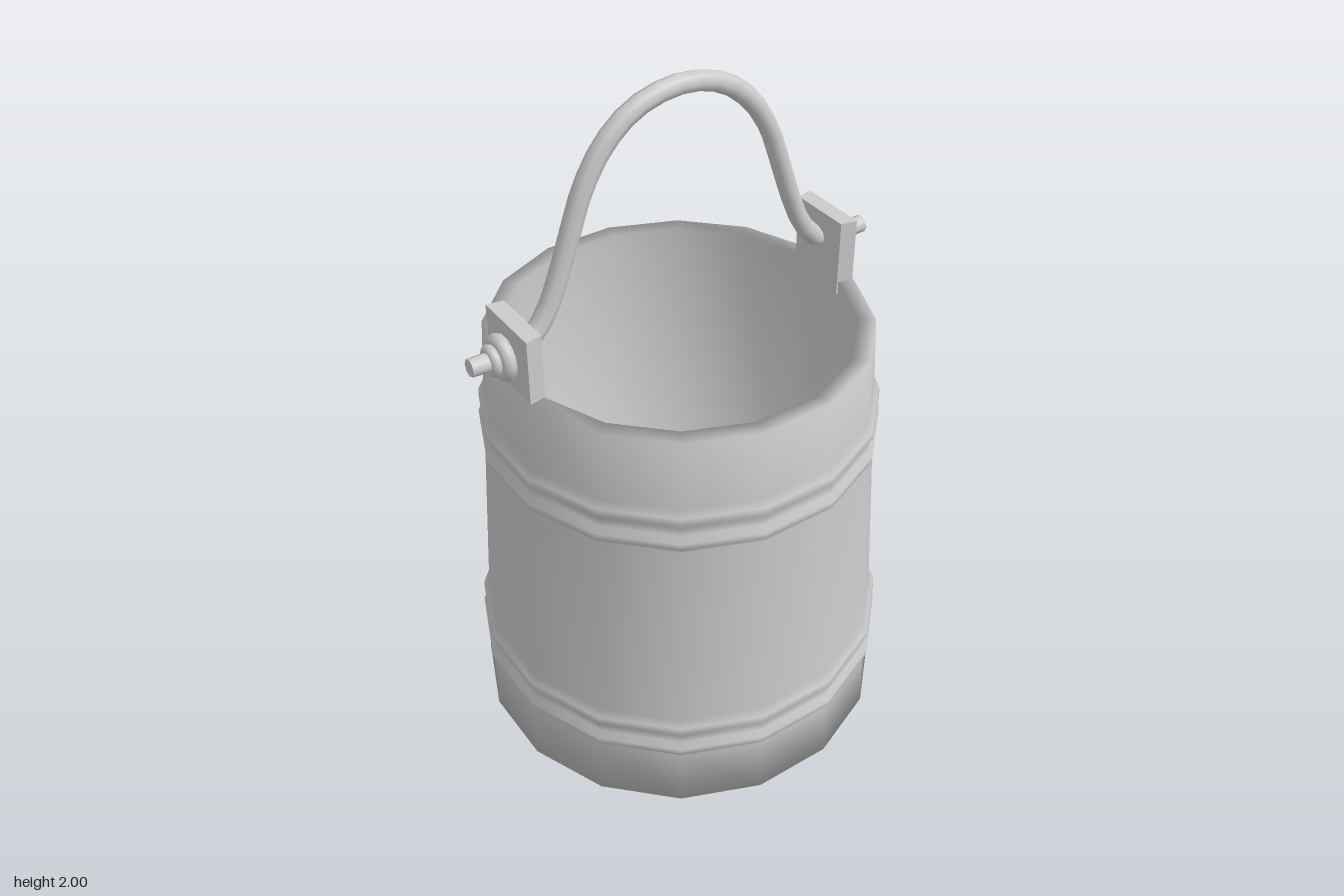
import * as THREE from 'three';

const SIDES = 16;
const FLAT = Math.cos(Math.PI / SIDES); // flat-to-corner ratio of the 16-sided body

export function createModel() {
  const bucket = new THREE.Group();
  bucket.name = 'bucket';
  const material = new THREE.MeshStandardMaterial({ color: 0xcccccc });

  const add = (parent, name, geometry) => {
    const mesh = new THREE.Mesh(geometry, material);
    mesh.name = name;
    parent.add(mesh);
    return mesh;
  };

  // Tapered wall: distance from the axis to a flat side at height y
  const wall = (y) => 0.6 - 0.07 * (y / 1.275);

  // Double hoop: two rounded ridges pushed out of the wall
  const hoop = (y) => [
    [-0.07, 0], [-0.05, 0.014], [-0.03, 0.016], [-0.012, 0.004],
    [0.012, 0.004], [0.03, 0.015], [0.05, 0.013], [0.07, 0],
  ].map(([dy, out]) => [wall(y + dy) + out, y + dy]);

  // Body: underside, outer wall with hoops, rim, inner wall and floor
  const profile = [
    [0, 0], [wall(0), 0],
    ...hoop(0.25), ...hoop(1.0),
    [wall(1.275), 1.275], [0.482, 1.275],
    [0.54, 0.06], [0, 0.06],
  ].map(([r, y]) => new THREE.Vector2(r / FLAT, y));
  add(bucket, 'body', new THREE.LatheGeometry(profile, SIDES, Math.PI / SIDES));

  // Handle: bent rod passing through both lugs
  const half = [
    [0.13, 1.945], [0.22, 1.875], [0.285, 1.775], [0.33, 1.655],
    [0.375, 1.53], [0.415, 1.445], [0.465, 1.388], [0.52, 1.37],
  ];
  const path = new THREE.CatmullRomCurve3([
    ...half.map(([x, y]) => new THREE.Vector3(-x, y, 0)).reverse(),
    new THREE.Vector3(0, 1.974, 0),
    ...half.map(([x, y]) => new THREE.Vector3(x, y, 0)),
  ]);
  add(bucket, 'handle', new THREE.TubeGeometry(path, 30, 0.028, 8));

  // Lug, washers and pin on each side
  for (const side of [1, -1]) {
    const mount = new THREE.Group();
    mount.name = side > 0 ? 'leftMount' : 'rightMount';
    mount.position.set(0, 1.37, 0);
    mount.rotation.y = side > 0 ? 0 : Math.PI;
    bucket.add(mount);

    // Lug, slightly wider on its outer face and rising out of the rim
    const lug = new THREE.BoxGeometry(0.048, 0.23, 0.2);
    const p = lug.attributes.position;
    for (let i = 0; i < p.count; i++) {
      p.setZ(i, p.getZ(i) * (p.getX(i) > 0 ? 1.05 : 0.95));
    }
    lug.computeVertexNormals();
    add(mount, 'lug', lug).position.set(0.502, -0.02, 0);

    // Large and small rounded washers
    for (const [name, x, ring, tube] of [
      ['largeWasher', 0.546, 0.046, 0.02],
      ['smallWasher', 0.574, 0.031, 0.014],
    ]) {
      const washer = add(mount, name, new THREE.TorusGeometry(ring, tube, 8, 14));
      washer.rotation.y = Math.PI / 2;
      washer.position.x = x;
    }

    // Pin end, slightly flared at the tip
    const pin = add(mount, 'pin', new THREE.CylinderGeometry(0.025, 0.028, 0.125, 8));
    pin.rotation.z = -Math.PI / 2 + 0.03;
    pin.position.x = 0.574;
  }

  return bucket;
}
